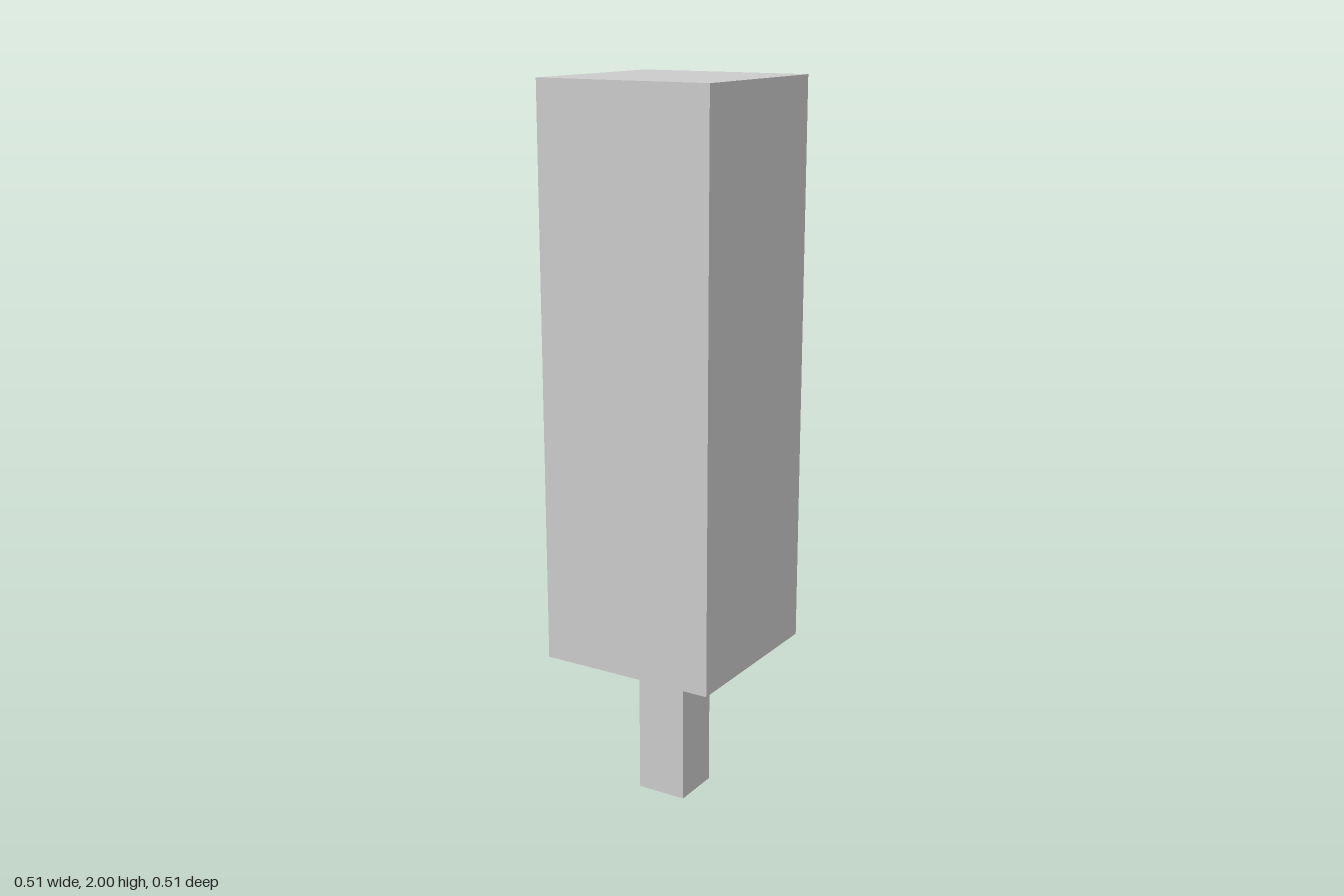
import * as THREE from 'three';

const material = new THREE.MeshStandardMaterial({ color: 0xcccccc, flatShading: true });

// Square block spanning bottom to top, centred on the vertical axis
function block(name, width, bottom, top) {
  const mesh = new THREE.Mesh(new THREE.BoxGeometry(width, top - bottom, width), material);
  mesh.name = name;
  mesh.position.y = (bottom + top) / 2;
  return mesh;
}

export function createModel() {
  const model = new THREE.Group();
  model.name = 'blockOnStem';
  const joint = 0.429;
  model.add(
    block('stem', 0.145, 0, joint), // narrow post
    block('body', 0.507, joint, 2) // tall upper block
  );
  return model;
}
